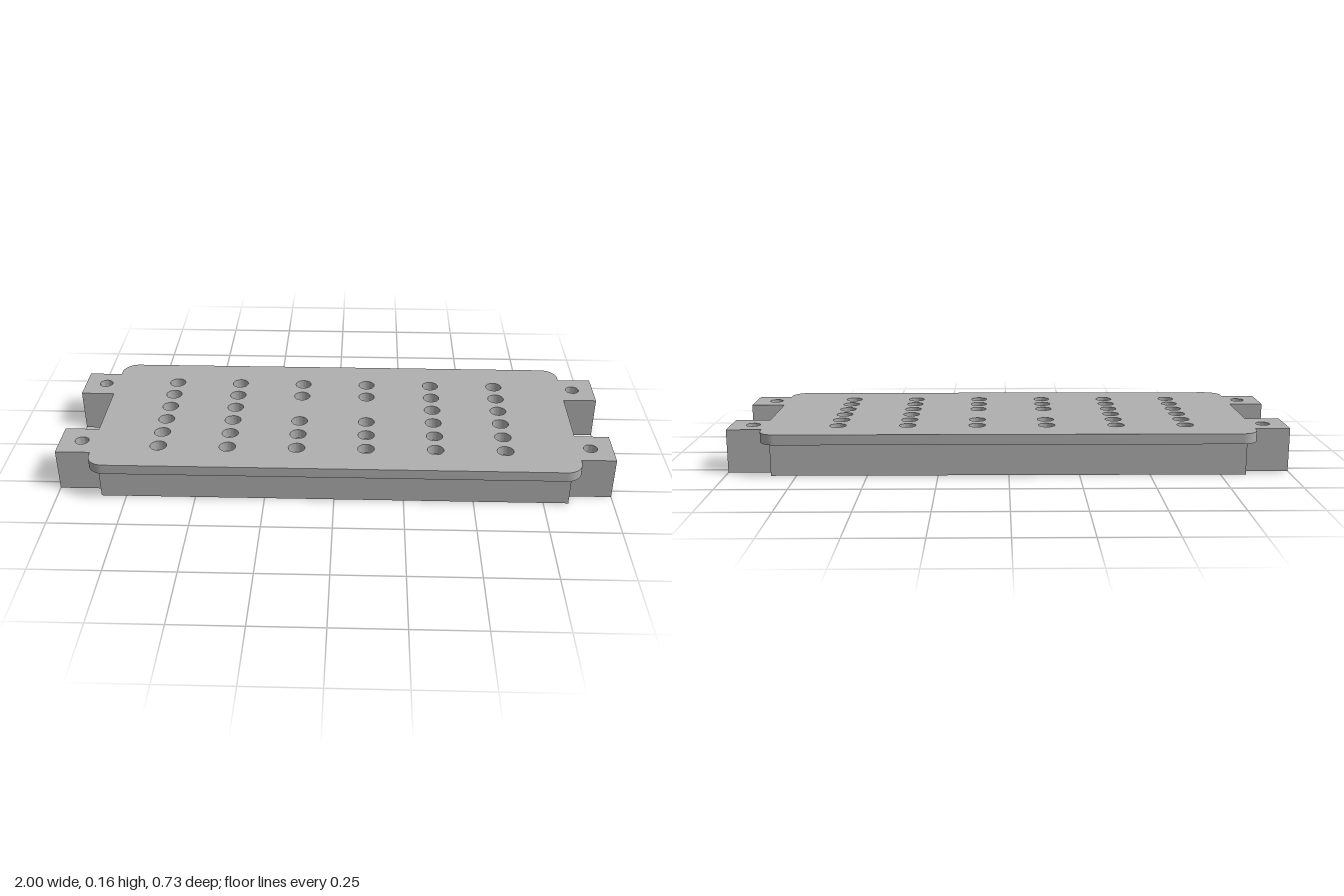
import * as THREE from 'three';
import { toCreasedNormals } from 'three/addons/utils/BufferGeometryUtils.js';

const TOTAL_H = 0.157, LIP_Y = 0.12;
const TAB_X = 1, TAB_IN = 0.13, TAB_OUT = 0.287;

// Rounded rectangle with two square tabs at each end; y of the shape is -z.
function tabbedOutline(hx, hz, r) {
  // one quadrant, from the middle of the end to the middle of the long side
  const quarter = [[hx, TAB_IN], [TAB_X, TAB_IN], [TAB_X, TAB_OUT], [hx, TAB_OUT]];
  const steps = r > 0 ? 10 : 0;
  for (let i = 0; i <= steps; i++) {
    const a = steps ? (i / steps) * Math.PI / 2 : 0;
    quarter.push(r > 0
      ? [hx - r + r * Math.cos(a), hz - r + r * Math.sin(a)]
      : [hx, hz]);
  }
  const back = [...quarter].reverse();
  const points = [
    ...quarter,
    ...back.map(([x, y]) => [-x, y]),
    ...quarter.map(([x, y]) => [-x, -y]),
    ...back.map(([x, y]) => [x, -y]),
  ];
  return new THREE.Shape(points.map(([x, y]) => new THREE.Vector2(x, y)));
}

function addHole(shape, x, z, r) {
  shape.holes.push(new THREE.Path().absarc(x, -z, r, 0, Math.PI * 2, true));
}

function addBoltHoles(shape) {
  for (const x of [-0.92, 0.92])
    for (const z of [-0.21, 0.21]) addHole(shape, x, z, 0.025);
}

function slab(name, shape, y0, y1, material) {
  const geo = new THREE.ExtrudeGeometry(shape, {
    depth: y1 - y0, bevelEnabled: false, curveSegments: 16,
  });
  geo.rotateX(-Math.PI / 2);
  geo.translate(0, y0, 0);
  const mesh = new THREE.Mesh(toCreasedNormals(geo, 0.6), material);
  mesh.name = name;
  return mesh;
}

export function createModel() {
  const grey = new THREE.MeshStandardMaterial({ color: 0xb0b0b0 });
  grey.name = 'grey';
  const group = new THREE.Group();
  group.name = 'perforatedCover';

  // Top plate with overhanging lip, tab tops and the grid of holes
  const plate = tabbedOutline(0.875, 0.367, 0.06);
  addBoltHoles(plate);
  for (let col = 0; col < 6; col++) {
    for (let row = 0; row < 6; row++) {
      if (row === 2 && (col === 2 || col === 3)) continue; // two holes left out
      addHole(plate, -0.637 + col * 0.25, -0.225 + row * 0.092, 0.03);
    }
  }
  group.add(slab('topPlate', plate, LIP_Y, TOTAL_H, grey));

  // Open-bottomed wall frame with the solid mounting tabs
  const frame = tabbedOutline(0.84, 0.33, 0);
  addBoltHoles(frame);
  const ix = 0.81, iz = 0.3;
  frame.holes.push(new THREE.Path([
    new THREE.Vector2(-ix, -iz), new THREE.Vector2(-ix, iz),
    new THREE.Vector2(ix, iz), new THREE.Vector2(ix, -iz),
  ]));
  group.add(slab('wallFrame', frame, 0, LIP_Y, grey));

  return group;
}
